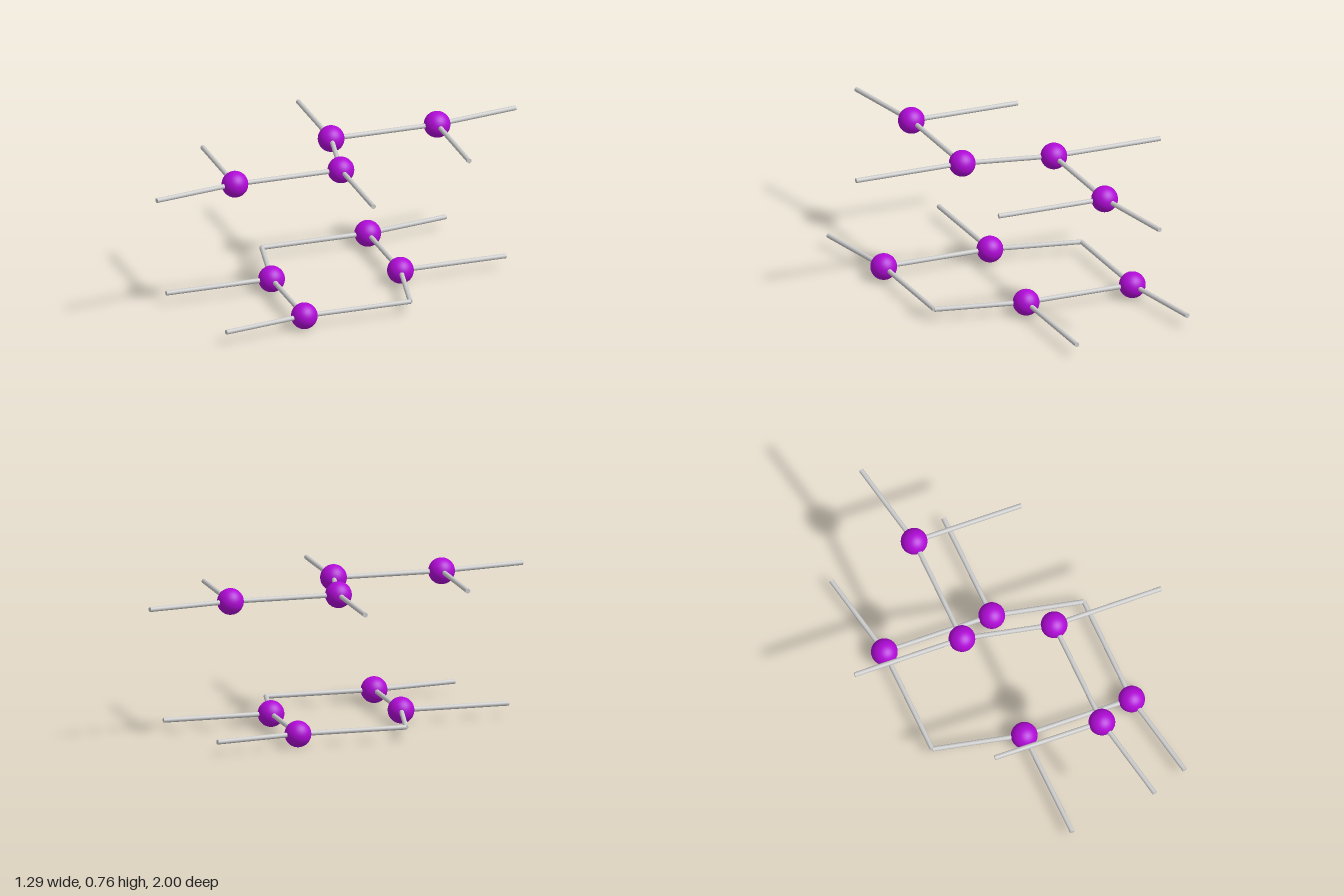
import * as THREE from 'three';

const BALL_RADIUS = 0.066;
const ROD_RADIUS = 0.012;
const LOWER_Y = 0.066;
const UPPER_Y = 0.695;

// Each layer lists one half as [x, z]; a half turn about y gives the other half.
const layers = [
  {
    name: 'lowerRing',
    y: LOWER_Y,
    balls: [[-0.121, -0.609], [0.258, -0.195]],
    rods: [
      [[-0.121, -0.609], [0.12, -0.993]],
      [[-0.121, -0.609], [-0.5, -0.195]],
      [[-0.121, -0.609], [0.258, -0.195]],
      [[0.258, -0.195], [0.634, -0.609]],
      [[0.258, -0.195], [0.5, 0.195]],
    ],
    bridge: null,
  },
  {
    name: 'upperChain',
    y: UPPER_Y,
    balls: [[0.258, -0.609], [-0.121, -0.195]],
    rods: [
      [[0.258, -0.609], [0.5, -0.993]],
      [[0.258, -0.609], [0.634, -0.195]],
      [[0.258, -0.609], [-0.121, -0.195]],
      [[-0.121, -0.195], [-0.5, -0.609]],
    ],
    // Middle rod maps onto itself under the half turn
    bridge: [[-0.121, -0.195], [0.121, 0.195]],
  },
];

export function createModel() {
  const model = new THREE.Group();
  model.name = 'layeredBallAndRodNetwork';

  const ballMaterial = new THREE.MeshStandardMaterial({ color: 0xb00ad6 });
  const rodMaterial = new THREE.MeshStandardMaterial({ color: 0xcccccc });
  const ballGeometry = new THREE.SphereGeometry(BALL_RADIUS, 40, 24);
  const up = new THREE.Vector3(0, 1, 0);

  function makeBall([x, z]) {
    const ball = new THREE.Mesh(ballGeometry, ballMaterial);
    ball.name = 'ball';
    ball.position.set(x, 0, z);
    return ball;
  }

  // Capped rod between two points of a layer
  function makeRod([[x1, z1], [x2, z2]]) {
    const start = new THREE.Vector3(x1, 0, z1);
    const end = new THREE.Vector3(x2, 0, z2);
    const along = end.clone().sub(start);
    const geometry = new THREE.CylinderGeometry(ROD_RADIUS, ROD_RADIUS, along.length(), 20);
    const rod = new THREE.Mesh(geometry, rodMaterial);
    rod.name = 'rod';
    rod.position.copy(start).add(end).multiplyScalar(0.5);
    rod.quaternion.setFromUnitVectors(up, along.normalize());
    return rod;
  }

  for (const { name, y, balls, rods, bridge } of layers) {
    const layer = new THREE.Group();
    layer.name = name;
    layer.position.y = y;
    for (const [side, turn] of [['backHalf', 0], ['frontHalf', Math.PI]]) {
      const half = new THREE.Group();
      half.name = side;
      half.rotation.y = turn;
      half.add(...balls.map(makeBall), ...rods.map(makeRod));
      layer.add(half);
    }
    if (bridge) {
      const rod = makeRod(bridge);
      rod.name = 'bridgeRod';
      layer.add(rod);
    }
    model.add(layer);
  }
  return model;
}
